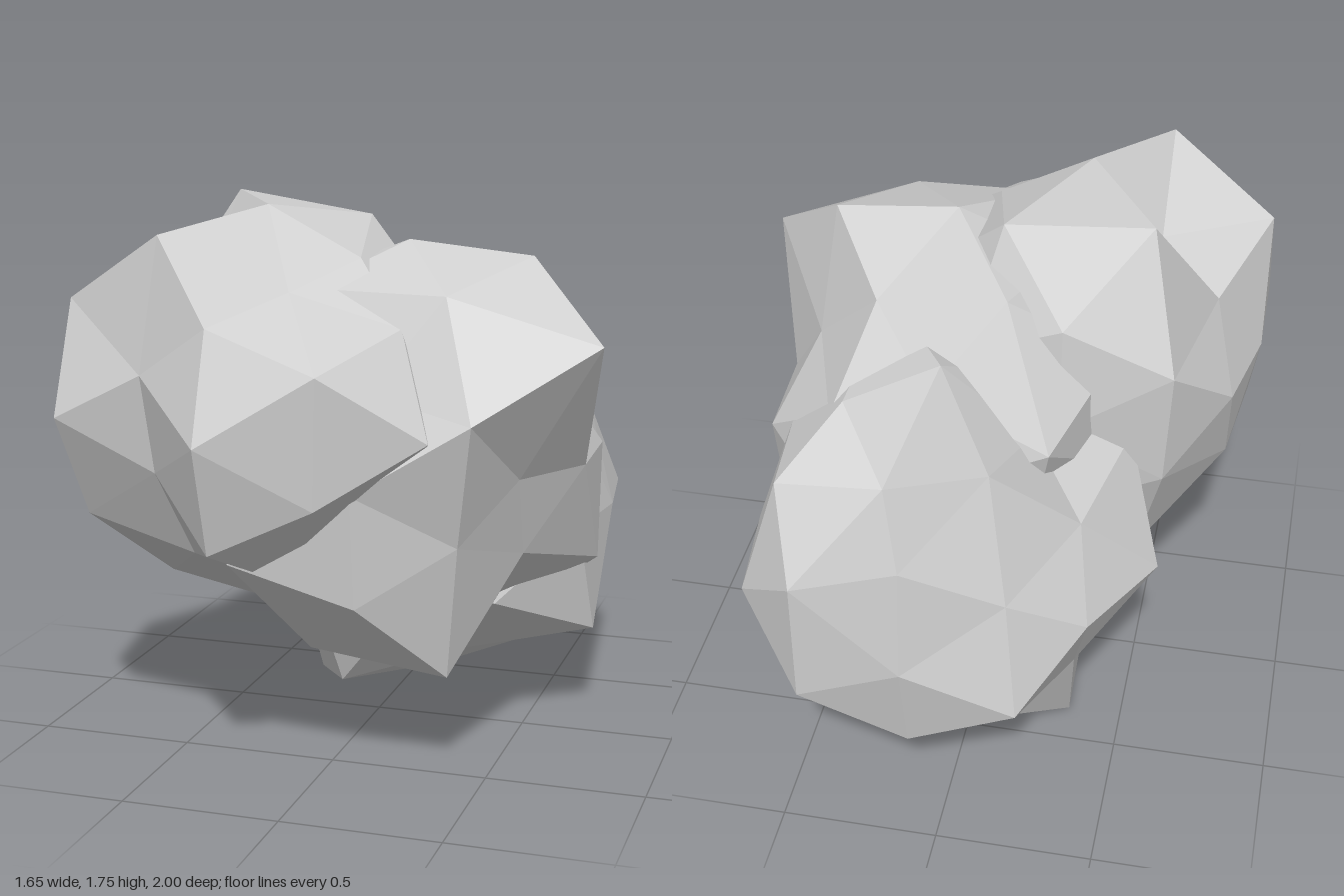
import * as THREE from 'three';

// All distinct sign variants of a direction, plus before minus
function signs(v) {
  let out = [[]];
  for (const c of v) out = out.flatMap(p => (c ? [[...p, c], [...p, -c]] : [[...p, 0]]));
  return out.map(p => new THREE.Vector3(...p).normalize());
}

// The 42 corner directions of a once-subdivided icosahedron, by family
const a = 0.5257, b = 0.8507, s = 0.309, m = 0.5, l = 0.809;
const directions = [
  [1, 0, 0], [0, 1, 0], [0, 0, 1],
  [0, a, b], [a, b, 0], [b, 0, a],
  [s, l, m], [m, s, l], [l, m, s],
].flatMap(signs);

// Each boulder: centre, and how far every corner is pushed out
const boulders = [
  {
    name: 'upperBoulder', centre: [-0.25, 1.1, 0.35],
    radii: [
      0.6, 0.58, 0.64, 0.63, 0.65, 0.6,
      0.63, 0.68, 0.65, 0.65, 0.57, 0.62, 0.44, 0.66, 0.735, 0.62, 0.68, 0.605,
      0.5, 0.72, 0.6, 0.65, 0.71, 0.8, 0.52, 0.76,
      0.67, 0.65, 0.63, 0.6, 0.52, 0.69, 0.47, 0.65,
      0.6, 0.62, 0.6, 0.6, 0.71, 0.54, 0.67, 0.62,
    ],
  },
  {
    name: 'middleBoulder', centre: [0.15, 0.94, 0.16],
    radii: [
      0.575, 0.6, 0.685, 0.695, 0.62, 0.6,
      0.52, 0.58, 0.68, 0.65, 0.76, 0.55, 0.65, 0.57, 0.5, 0.66, 0.62, 0.62,
      0.69, 0.635, 0.755, 0.78, 0.7, 0.73, 0.7, 0.7,
      0.7, 0.63, 0.57, 0.65, 0.6, 0.82, 0.77, 0.65,
      0.83, 0.53, 0.515, 0.715, 0.6, 0.68, 0.57, 0.6,
    ],
  },
  {
    name: 'rearBoulder', centre: [0.1, 0.69, -0.36],
    radii: [
      0.62, 0.695, 0.69, 0.64, 0.62, 0.64,
      0.6, 0.715, 0.6, 0.66, 0.6, 0.6, 0.55, 0.81, 0.68, 0.675, 0.62, 0.61,
      0.8, 0.45, 0.58, 0.59, 0.6, 0.71, 0.74, 0.6,
      0.6, 0.7, 0.7, 0.7, 0.6, 0.585, 0.62, 0.67,
      0.65, 0.613, 0.75, 0.59, 0.7, 0.58, 0.57, 0.57,
    ],
  },
];

// Faceted ball with each corner moved along its own direction
function boulderGeometry(radii) {
  const geometry = new THREE.IcosahedronGeometry(1, 1);
  const position = geometry.attributes.position;
  const v = new THREE.Vector3();
  for (let i = 0; i < position.count; i++) {
    v.fromBufferAttribute(position, i).normalize();
    const k = directions.findIndex(d => d.dot(v) > 0.99);
    v.multiplyScalar(radii[k]);
    position.setXYZ(i, v.x, v.y, v.z);
  }
  geometry.computeVertexNormals();
  return geometry;
}

export function createModel() {
  const group = new THREE.Group();
  group.name = 'rockCluster';
  const stone = new THREE.MeshStandardMaterial({ color: 0xd0d0d0, flatShading: true });
  stone.name = 'paleStone';

  for (const { name, centre, radii } of boulders) {
    const mesh = new THREE.Mesh(boulderGeometry(radii), stone);
    mesh.name = name;
    mesh.position.set(...centre);
    group.add(mesh);
  }
  return group;
}
